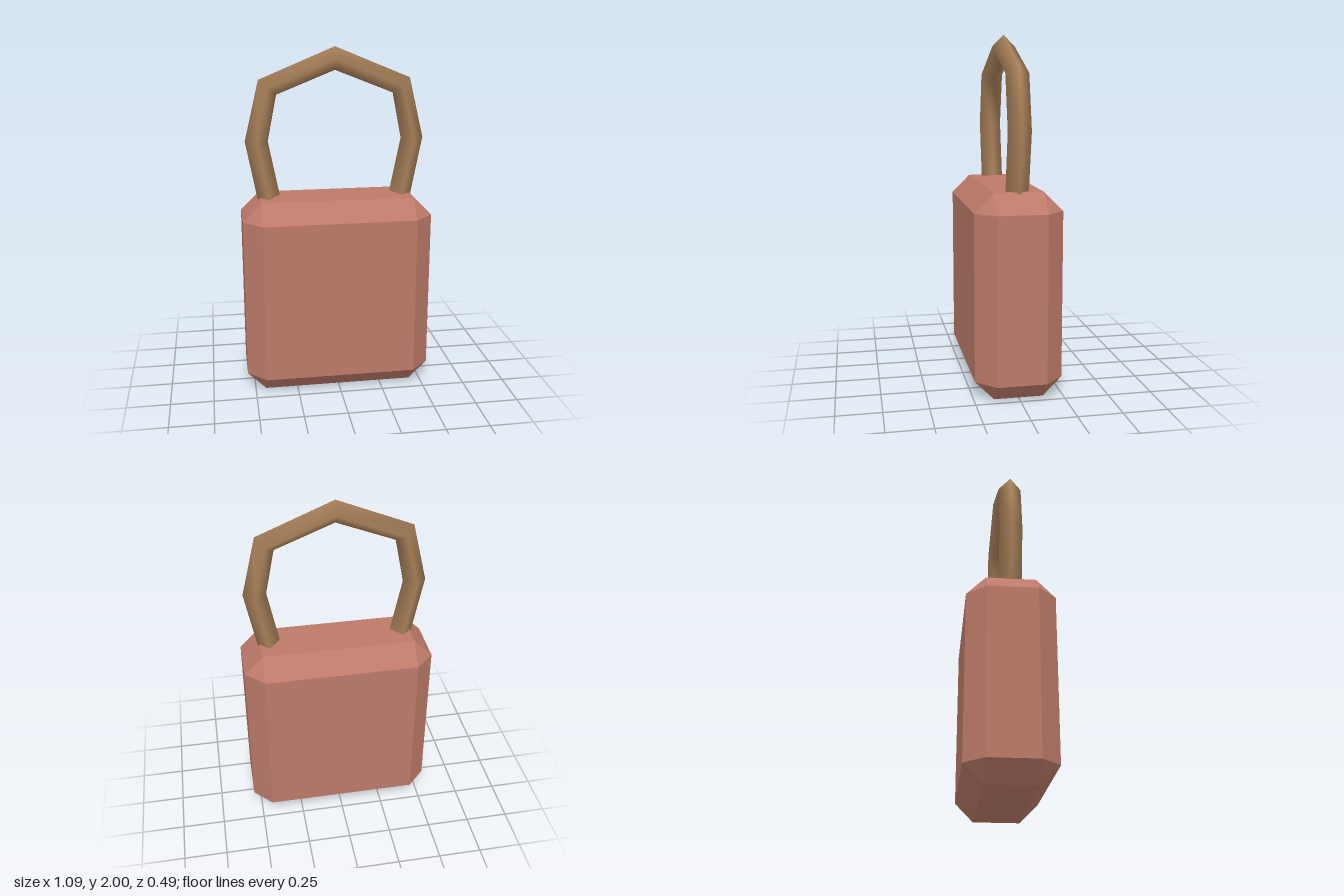
import * as THREE from 'three';
import { ConvexGeometry } from 'three/addons/geometries/ConvexGeometry.js';

// Box with flat chamfers on every edge and triangular corners
function chamferedBox(hx, hy, hz, c) {
  const points = [];
  for (const sx of [-1, 1]) for (const sy of [-1, 1]) for (const sz of [-1, 1]) {
    points.push(
      new THREE.Vector3(sx * hx, sy * (hy - c), sz * (hz - c)),
      new THREE.Vector3(sx * (hx - c), sy * hy, sz * (hz - c)),
      new THREE.Vector3(sx * (hx - c), sy * (hy - c), sz * hz));
  }
  return new ConvexGeometry(points);
}

// Smooth-shaded four-sided rod following a polyline in the XY plane
function diamondRod(path, radius) {
  const positions = [], normals = [], index = [];
  path.forEach((p, i) => {
    const before = path[Math.max(i - 1, 0)], after = path[Math.min(i + 1, path.length - 1)];
    const tangent = new THREE.Vector2();
    if (i > 0) tangent.add(p.clone().sub(before).normalize());
    if (i < path.length - 1) tangent.add(after.clone().sub(p).normalize());
    tangent.normalize();
    for (let k = 0; k < 4; k++) {
      const a = k * Math.PI / 2;
      const n = new THREE.Vector3(-tangent.y * Math.cos(a), tangent.x * Math.cos(a), Math.sin(a));
      normals.push(n.x, n.y, n.z);
      positions.push(p.x + n.x * radius, p.y + n.y * radius, n.z * radius);
    }
  });
  for (let i = 0; i < path.length - 1; i++) for (let k = 0; k < 4; k++) {
    const a = i * 4 + k, b = i * 4 + (k + 1) % 4;
    index.push(a, b, a + 4, b, b + 4, a + 4);
  }
  // End caps
  const e = (path.length - 1) * 4;
  index.push(0, 2, 1, 0, 3, 2, e, e + 1, e + 2, e, e + 2, e + 3);
  const geometry = new THREE.BufferGeometry();
  geometry.setAttribute('position', new THREE.Float32BufferAttribute(positions, 3));
  geometry.setAttribute('normal', new THREE.Float32BufferAttribute(normals, 3));
  geometry.setIndex(index);
  return geometry;
}

export function createModel() {
  const group = new THREE.Group();
  group.name = 'padlock';
  const bodyMaterial = new THREE.MeshStandardMaterial({ color: 0xbc7a69 });
  bodyMaterial.name = 'dusty red';
  const shackleMaterial = new THREE.MeshStandardMaterial({ color: 0xa67f58, side: THREE.DoubleSide });
  shackleMaterial.name = 'bronze brown';

  // Lock body
  const body = new THREE.Mesh(chamferedBox(0.545, 0.575, 0.245, 0.107), bodyMaterial);
  body.name = 'body';
  body.position.y = 0.575;
  group.add(body);

  // Shackle: half path mirrored about the crown
  const half = [[0.387, 1.15], [0.45, 1.477], [0.382, 1.78]];
  const path = [
    ...half.map(([x, y]) => new THREE.Vector2(-x, y)),
    new THREE.Vector2(0, 1.935),
    ...half.map(([x, y]) => new THREE.Vector2(x, y)).reverse(),
  ];
  const shackle = new THREE.Mesh(diamondRod(path, 0.065), shackleMaterial);
  shackle.name = 'shackle';
  group.add(shackle);
  return group;
}
